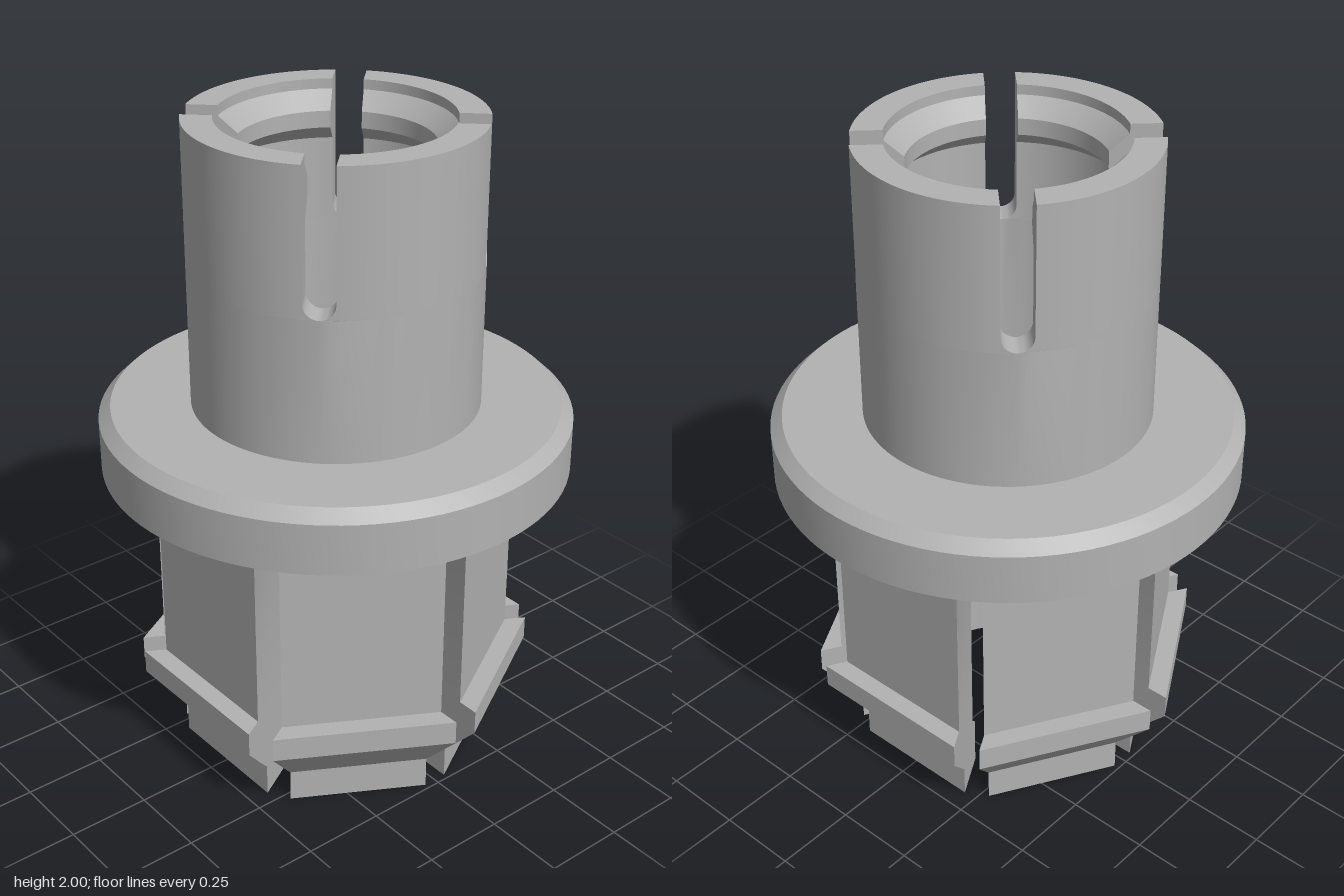
import * as THREE from 'three';
import { toCreasedNormals } from 'three/addons/utils/BufferGeometryUtils.js';

const BORE = 0.345;

// Ring of n wall sectors parted by parallel-sided slots.
// Each row is [y, outer radius (or apothem when flat), inner radius, slot half-width].
function slottedRing(n, rows, flat, steps) {
  const pos = [];
  const half = Math.PI / n;

  const tri = (a, b, c) => {
    const area = b.clone().sub(a).cross(c.clone().sub(a)).length();
    if (area > 1e-9) for (const p of [a, b, c]) pos.push(p.x, p.y, p.z);
  };
  const quad = (a, b, c, d) => { tri(a, b, c); tri(a, c, d); };

  for (let k = 0; k < n; k++) {
    const mid = k * 2 * half;
    const round = (r, w, y, t) => {
      const a = mid + t * (half - Math.asin(w / r));
      return new THREE.Vector3(r * Math.sin(a), y, r * Math.cos(a));
    };
    const straight = (d, w, y, t) => {
      const u = t * (d * Math.tan(half) - w / Math.cos(half));
      return new THREE.Vector3(u, y, d).applyAxisAngle(new THREE.Vector3(0, 1, 0), mid);
    };
    const outer = ([y, o, , w], t) => (flat ? straight : round)(o, w, y, t);
    const inner = ([y, , i, w], t) => round(i, w, y, t);

    const last = rows[rows.length - 1];
    for (let s = 0; s < steps; s++) {
      const t0 = -1 + (2 * s) / steps, t1 = -1 + (2 * (s + 1)) / steps;
      for (let j = 0; j + 1 < rows.length; j++) {
        const a = rows[j], b = rows[j + 1];
        quad(outer(a, t0), outer(a, t1), outer(b, t1), outer(b, t0));
        quad(inner(a, t1), inner(a, t0), inner(b, t0), inner(b, t1));
      }
      // end faces
      quad(outer(last, t0), outer(last, t1), inner(last, t1), inner(last, t0));
      quad(outer(rows[0], t1), outer(rows[0], t0), inner(rows[0], t0), inner(rows[0], t1));
    }
    // slot walls
    for (let j = 0; j + 1 < rows.length; j++) {
      const a = rows[j], b = rows[j + 1];
      if (a[3] + b[3] === 0) continue;
      quad(outer(a, 1), inner(a, 1), inner(b, 1), outer(b, 1));
      quad(inner(a, -1), outer(a, -1), outer(b, -1), inner(b, -1));
    }
  }
  const geo = new THREE.BufferGeometry();
  geo.setAttribute('position', new THREE.Float32BufferAttribute(pos, 3));
  return toCreasedNormals(geo, 0.45);
}

// Rows for the half-round end of a slot; dir is +1 when the slot closes upward.
function slotEnd(tipY, w, dir, out, inn) {
  const rows = [];
  for (let i = 0; i <= 8; i++) {
    const a = (i / 8) * Math.PI / 2;
    rows.push([tipY - dir * w * (1 - Math.sin(a)), out, inn, i === 8 ? 0 : w * Math.cos(a)]);
  }
  return dir > 0 ? rows : rows.reverse();
}

export function createModel() {
  const group = new THREE.Group();
  const grey = new THREE.MeshStandardMaterial({ color: 0xb2b2b2 });
  grey.name = 'plain grey';
  const add = (name, geo) => {
    const mesh = new THREE.Mesh(geo, grey);
    mesh.name = name;
    group.add(mesh);
  };

  // Hexagonal body with six snap fingers
  const w = 0.038;
  add('hexagonalSnapFingers', slottedRing(6, [
    [0, 0.438, 0.335, w],
    [0.1, 0.438, 0.335, w],
    [0.16, 0.487, 0.335, w],
    [0.19, 0.511, 0.365, w],
    [0.235, 0.547, 0.365, w],
    [0.31, 0.547, 0.365, w],
    [0.31, 0.489, 0.365, w],
    ...slotEnd(0.87, w, 1, 0.489, 0.365),
    [0.95, 0.489, 0.365, 0],
  ], true, 10));

  // Round flange with a chamfered top edge
  const ring = [
    [BORE, 0.95], [0.703, 0.95], [0.703, 1.105], [0.667, 1.14], [0.42, 1.14], [BORE, 1.14], [BORE, 0.95],
  ].map(([x, y]) => new THREE.Vector2(x, y));
  add('flange', toCreasedNormals(new THREE.LatheGeometry(ring, 96), 0.45));

  // Tubular post with four slots and an inner retaining lip
  const v = 0.046;
  add('slottedPost', slottedRing(4, [
    [1.14, 0.43, BORE, 0],
    ...slotEnd(1.57, v, -1, 0.43, BORE),
    [1.82, 0.43, BORE, v],
    [1.87, 0.43, 0.285, v],
    [1.92, 0.43, 0.285, v],
    [1.97, 0.43, 0.34, v],
    [2, 0.43, 0.34, v],
  ], false, 24));

  return group;
}
